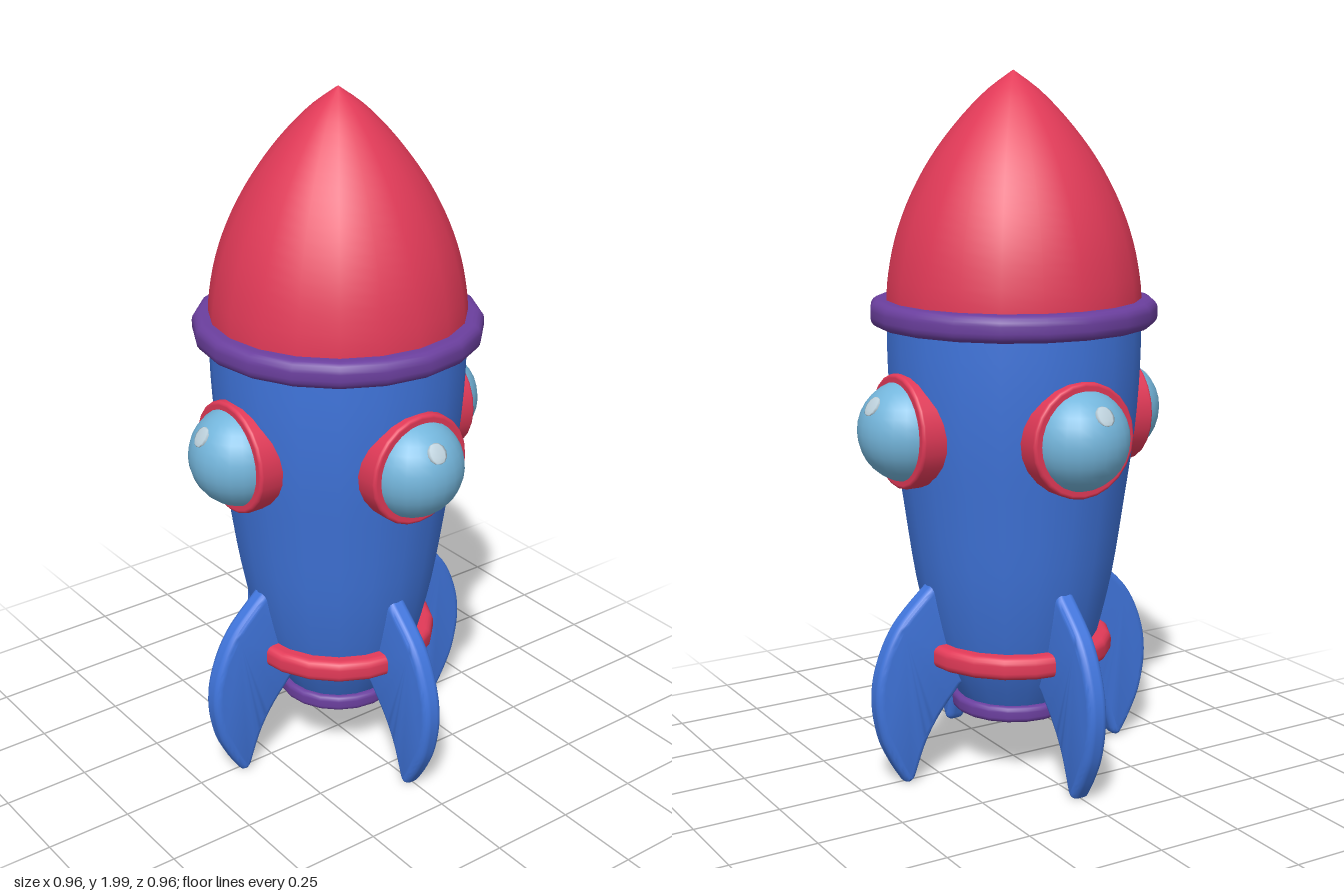
import * as THREE from 'three';
import { mergeVertices, toCreasedNormals } from 'three/addons/utils/BufferGeometryUtils.js';

const SIDES = 20;
const mat = (name, color) => {
  const m = new THREE.MeshStandardMaterial({ color });
  m.name = name;
  return m;
};
const v2 = (list) => list.map(([x, y]) => new THREE.Vector2(x, y));

// Smooth surface of revolution through a few [radius, height] points
function turned(points, steps) {
  const profile = new THREE.SplineCurve(v2(points)).getPoints(steps);
  profile.forEach((p) => { p.x = Math.max(p.x, 0); });
  return new THREE.LatheGeometry(profile, SIDES);
}

// Solid collar with rounded outer edges, from the inner to the outer radius
function collar(inner, outer, y0, y1, round, sides = SIDES) {
  const pts = [[inner, y0]];
  for (let i = 0; i <= 4; i++) {
    const a = (i / 4) * Math.PI / 2;
    pts.push([outer - round + round * Math.sin(a), y0 + round - round * Math.cos(a)]);
  }
  for (let i = 0; i <= 4; i++) {
    const a = (i / 4) * Math.PI / 2;
    pts.push([outer - round + round * Math.cos(a), y1 - round + round * Math.sin(a)]);
  }
  pts.push([inner, y1]);
  return new THREE.LatheGeometry(v2(pts), sides);
}

// Swept fin outline, extruded with soft edges
function finGeometry() {
  const s = new THREE.Shape();
  s.moveTo(0.15, 0.575);
  s.lineTo(0.28, 0.578);
  s.splineThru(v2([[0.385, 0.475], [0.44, 0.365], [0.457, 0.26], [0.44, 0.15], [0.405, 0.07], [0.368, 0.01]]));
  s.quadraticCurveTo(0.35, 0.0, 0.337, 0.022);
  s.splineThru(v2([[0.3, 0.118], [0.254, 0.193], [0.19, 0.267]]));
  s.lineTo(0.15, 0.29);
  const g = new THREE.ExtrudeGeometry(s, {
    depth: 0.02, bevelEnabled: true, bevelThickness: 0.02, bevelSize: 0.02,
    bevelOffset: -0.02, bevelSegments: 4, curveSegments: 5,
  });
  g.translate(0, 0, -0.01);
  g.deleteAttribute('uv');
  g.deleteAttribute('normal');
  return toCreasedNormals(mergeVertices(g, 1e-5), 0.7);
}

export function createModel() {
  const red = mat('red', 0xe23a58);
  const blue = mat('blue', 0x4075dc);
  const purple = mat('purple', 0x6b3f9e);
  const glass = mat('glassBlue', 0x74b6dc);
  const shine = mat('paleShine', 0xbfd3de);

  const model = new THREE.Group();
  model.name = 'rocket';
  const add = (parent, name, geometry, material) => {
    const mesh = new THREE.Mesh(geometry, material);
    mesh.name = name;
    parent.add(mesh);
    return mesh;
  };

  // Hull and nose
  add(model, 'body', turned([
    [0.15, 0.2], [0.178, 0.25], [0.213, 0.32], [0.243, 0.4], [0.285, 0.58],
    [0.318, 0.8], [0.345, 1.0], [0.358, 1.18], [0.36, 1.34],
  ], 24), blue);
  add(model, 'noseCone', turned([
    [0.36, 1.34], [0.356, 1.42], [0.335, 1.53], [0.296, 1.64],
    [0.238, 1.75], [0.165, 1.85], [0.08, 1.94], [0, 2.0],
  ], 24), red);

  // Collars and base
  add(model, 'noseCollar', collar(0.34, 0.405, 1.3, 1.375, 0.028), purple);
  add(model, 'lowerBand', collar(0.18, 0.285, 0.337, 0.403, 0.022), red);
  add(model, 'basePlate', collar(0, 0.18, 0.175, 0.222, 0.015), purple);

  const fin = finGeometry();
  const frame = collar(0, 0.16, 0.2, 0.375, 0.01, 24).rotateX(Math.PI / 2);
  const dome = new THREE.SphereGeometry(0.143, 24, 16);
  const glint = new THREE.SphereGeometry(0.03, 8, 6).scale(1, 1, 0.15);
  const glintDirection = new THREE.Vector3(-0.01, 0.08, 0.115).normalize();

  // Four portholes and four fins around the hull
  for (let i = 0; i < 4; i++) {
    const porthole = new THREE.Group();
    porthole.name = 'porthole' + (i + 1);
    porthole.rotation.y = i * Math.PI / 2;
    porthole.position.y = 1.027;
    add(porthole, 'windowFrame', frame, red);
    add(porthole, 'windowDome', dome, glass).position.z = 0.335;
    const spot = add(porthole, 'windowGlint', glint, shine);
    spot.position.copy(glintDirection).multiplyScalar(0.1415);
    spot.position.z += 0.335;
    spot.quaternion.setFromUnitVectors(new THREE.Vector3(0, 0, 1), glintDirection);
    // glints on opposite windows mirror each other
    if (i >= 2) {
      spot.position.x *= -1;
      spot.rotation.y *= -1;
    }
    model.add(porthole);

    add(model, 'fin' + (i + 1), fin, blue).rotation.y = i * Math.PI / 2;
  }
  return model;
}
